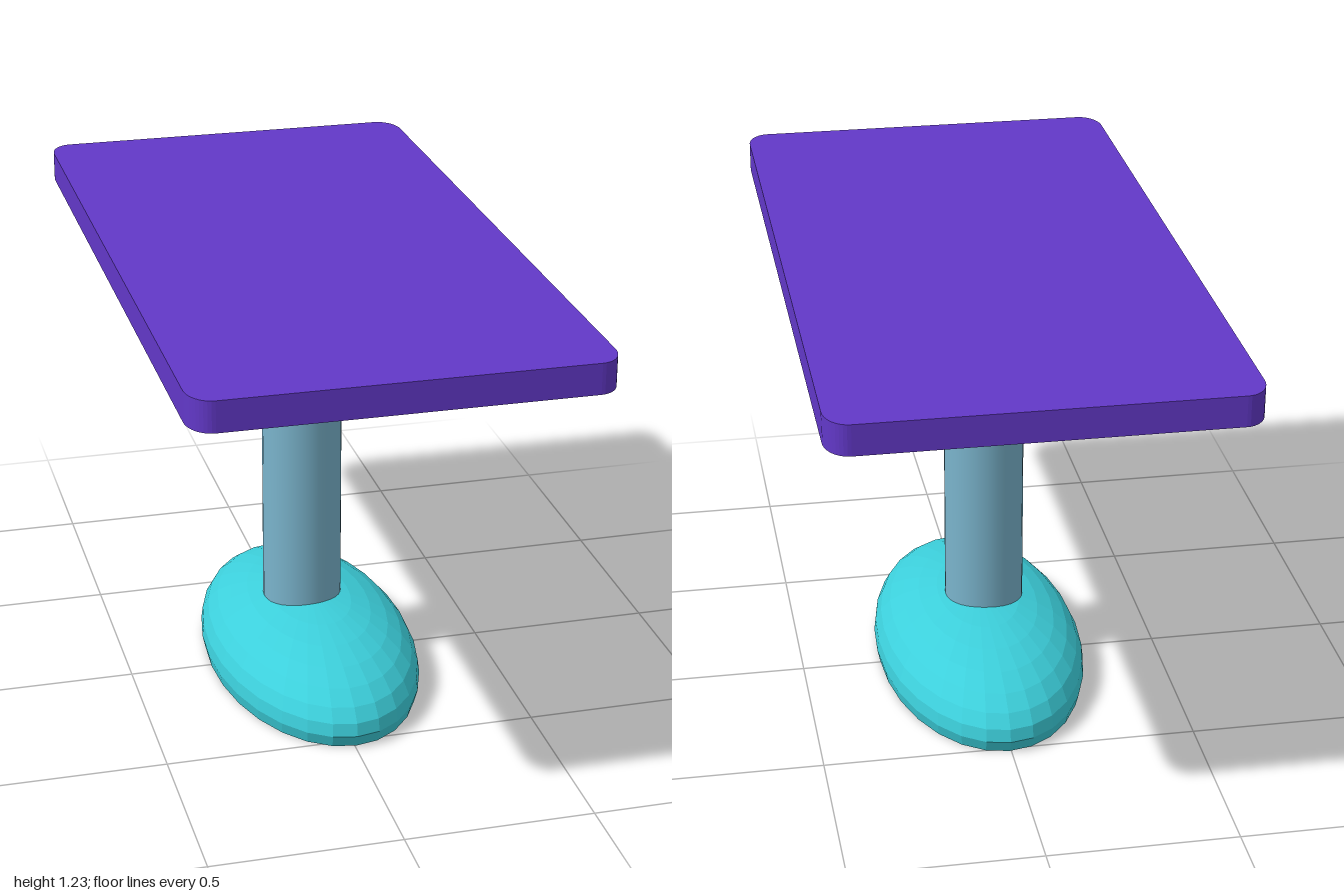
import * as THREE from 'three';

function part(name, geometry, color, options = {}) {
  const mesh = new THREE.Mesh(geometry, new THREE.MeshStandardMaterial({ color, ...options }));
  mesh.name = name;
  return mesh;
}

// Rectangle with elliptical corners, centred on the origin
function roundedRectangle(hx, hz, rx, rz) {
  const s = new THREE.Shape();
  const corners = [[1, 1, 0], [-1, 1, 1], [-1, -1, 2], [1, -1, 3]];
  for (const [sx, sz, quarter] of corners) {
    const start = quarter * Math.PI / 2;
    s.absellipse(sx * (hx - rx), sz * (hz - rz), rx, rz, start, start + Math.PI / 2, false);
  }
  return s;
}

export function createModel() {
  const group = new THREE.Group();
  group.name = 'pedestalTable';

  // Flat top with rounded corners
  const topGeometry = new THREE.ExtrudeGeometry(roundedRectangle(0.522, 1, 0.06, 0.08), {
    depth: 0.08, bevelEnabled: false, curveSegments: 5,
  });
  topGeometry.rotateX(-Math.PI / 2);
  const top = part('tabletop', topGeometry, 0x6238c8);
  top.position.y = 1.15;
  group.add(top);

  // Round column, standing on the crown of the base
  const column = part('column', new THREE.CylinderGeometry(0.108, 0.108, 0.95, 32), 0x7ab4cc);
  column.position.set(-0.012, 0.675, 0);
  group.add(column);

  // Hollow oval dome, open below and curling in slightly at the rim
  const domeGeometry = new THREE.SphereGeometry(1, 28, 9, 0, Math.PI * 2, 0, 1.8);
  domeGeometry.scale(0.286, 0.175, 0.535);
  const base = part('base', domeGeometry, 0x3ccfdb, { flatShading: true, side: THREE.DoubleSide });
  base.position.set(0.004, 0.04, 0.008);
  group.add(base);

  return group;
}
